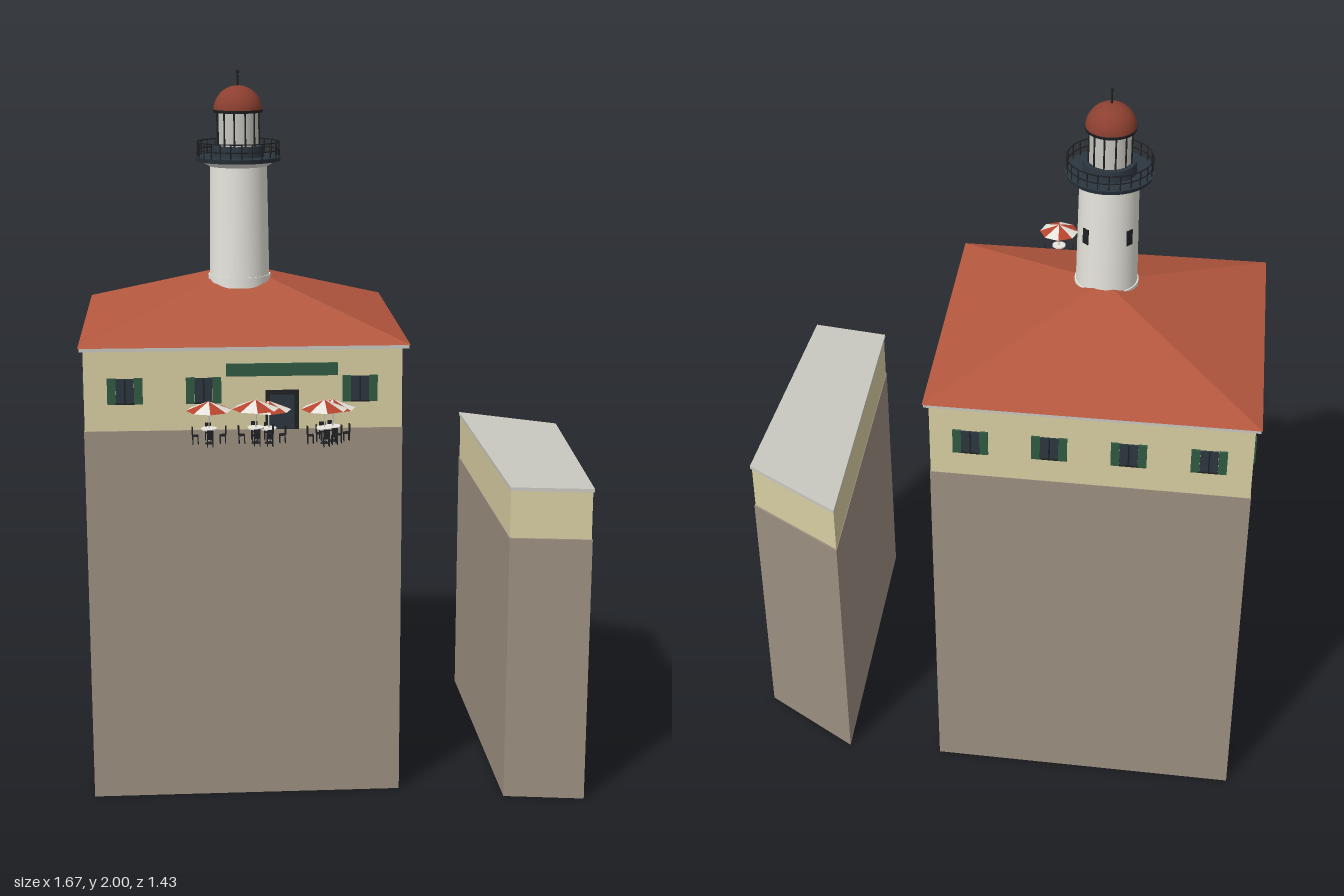
import * as THREE from 'three';

const mat = (name, color, side = THREE.FrontSide) => {
  const m = new THREE.MeshStandardMaterial({ color, side });
  m.name = name;
  return m;
};

export function createModel() {
  const root = new THREE.Group();
  root.name = 'lighthouseStation';

  const stone = mat('stoneBrown', 0x9c8f80);
  const cream = mat('creamWall', 0xd8cea2);
  const tile = mat('roofTile', 0xb4573e);
  const domeRed = mat('domeRed', 0x8c4030);
  const white = mat('towerWhite', 0xeeece4, THREE.DoubleSide);
  const grey = mat('paleGrey', 0xc9c7c0);
  const green = mat('shutterGreen', 0x2f5a42);
  const black = mat('ironBlack', 0x1f2124);
  const slate = mat('slateBlue', 0x2c363f);
  const canopyRed = mat('canopyRed', 0xb8452f, THREE.DoubleSide);

  const add = (parent, name, geo, material, x = 0, y = 0, z = 0) => {
    const m = new THREE.Mesh(geo, material);
    m.name = name;
    m.position.set(x, y, z);
    parent.add(m);
    return m;
  };
  const group = (name, x = 0, y = 0, z = 0, parent = root) => {
    const g = new THREE.Group();
    g.name = name;
    g.position.set(x, y, z);
    parent.add(g);
    return g;
  };
  const box = (w, h, d) => new THREE.BoxGeometry(w, h, d);
  const cyl = (rt, rb, h, n = 32) => new THREE.CylinderGeometry(rt, rb, h, n);

  // Upright prism over a plan outline of [x, z] points
  const prism = (outline, y0, y1) => {
    const shape = new THREE.Shape(outline.map(([x, z]) => new THREE.Vector2(x, -z)));
    const g = new THREE.ExtrudeGeometry(shape, { depth: y1 - y0, bevelEnabled: false });
    return g.rotateX(-Math.PI / 2).translate(0, y0, 0);
  };
  // Scale an outline about its middle
  const grow = (outline, s) => {
    const n = outline.length;
    const cx = outline.reduce((a, p) => a + p[0], 0) / n;
    const cz = outline.reduce((a, p) => a + p[1], 0) / n;
    return outline.map(([x, z]) => [cx + (x - cx) * s, cz + (z - cz) * s]);
  };

  // Main house: left, front, right, back corners
  const house = [[-0.815, 0.08], [-0.27, 0.695], [0.375, 0.125], [-0.16, -0.478]];
  const eaves = [[-0.835, 0.08], [-0.27, 0.712], [0.4, 0.125], [-0.162, -0.5]];
  add(root, 'houseBase', prism(house, 0, 1.06), stone);
  add(root, 'houseWalls', prism(grow(house, 0.996), 1.06, 1.282), cream);
  add(root, 'eavesTrim', prism(grow(eaves, 0.992), 1.28, 1.29), grey);

  // Hipped roof
  const apex = [-0.215, 1.45, 0.103];
  const roofPoints = [];
  eaves.forEach(([x, z], i) => {
    const [x2, z2] = eaves[(i + 1) % 4];
    roofPoints.push(x, 1.29, z, x2, 1.29, z2, ...apex);
  });
  for (const i of [0, 2, 1, 0, 3, 2]) roofPoints.push(eaves[i][0], 1.29, eaves[i][1]);
  const roof = new THREE.BufferGeometry();
  roof.setAttribute('position', new THREE.Float32BufferAttribute(roofPoints, 3));
  roof.computeVertexNormals();
  add(root, 'houseRoof', roof, tile);

  // Windows, door and sign along each wall
  const makeWindow = (g) => {
    add(g, 'windowPane', box(0.048, 0.068, 0.006), slate);
    add(g, 'windowBar', box(0.004, 0.068, 0.008), black);
    add(g, 'windowSill', box(0.05, 0.004, 0.009), black, 0, -0.034, 0);
    for (const s of [-1, 1]) add(g, 'shutter', box(0.023, 0.072, 0.009), green, s * 0.036, 0, 0);
  };
  house.forEach(([x, z], i) => {
    const [x2, z2] = house[(i + 1) % 4];
    const dx = x2 - x, dz = z2 - z;
    [0.13, 0.375, 0.62, 0.865].forEach((t, k) => {
      const g = group('wallOpening', x + dx * t, 1.17, z + dz * t);
      g.rotation.y = Math.atan2(-dz, dx);
      if (i === 1 && k === 2) {
        g.name = 'entrance';
        add(g, 'doorFrame', box(0.09, 0.108, 0.006), black, 0, -0.056, 0);
        add(g, 'door', box(0.066, 0.094, 0.009), slate, 0, -0.061, 0);
        add(g, 'signBoard', box(0.3, 0.034, 0.009), green, 0, 0.055, 0.002);
      } else makeWindow(g);
    });
  });

  // Annex
  const annex = [[0.04, -0.663], [0.64, -0.012], [0.828, -0.136], [0.36, -0.717]];
  add(root, 'annexBase', prism(annex, 0, 0.76), stone);
  add(root, 'annexWalls', prism(grow(annex, 0.985), 0.76, 0.895), cream);
  add(root, 'annexRoof', prism(grow(annex, 1.006), 0.895, 0.905), grey);

  // Lighthouse tower
  const tower = group('tower', -0.182, 0, 0.145);
  add(tower, 'towerShaft', cyl(0.08, 0.085, 0.35, 40), white, 0, 1.575, 0);
  add(tower, 'towerFoot', cyl(0.088, 0.088, 0.02, 40), white, 0, 1.42, 0);
  add(tower, 'towerCornice', cyl(0.106, 0.082, 0.014, 40), white, 0, 1.742, 0);
  add(tower, 'galleryDeck', cyl(0.12, 0.116, 0.012, 40), slate, 0, 1.755, 0);
  add(tower, 'towerSlit', box(0.007, 0.045, 0.02), black, -0.081, 1.59, 0);
  add(tower, 'towerSlit', box(0.02, 0.045, 0.007), black, 0, 1.59, -0.081);

  // Gallery railing
  for (const y of [1.78, 1.802]) {
    add(tower, 'rail', new THREE.TorusGeometry(0.115, 0.0018, 6, 40).rotateX(Math.PI / 2), black, 0, y, 0);
  }
  for (let i = 0; i < 24; i++) {
    const a = (i / 24) * Math.PI * 2;
    add(tower, 'railPost', cyl(0.0018, 0.0018, 0.045, 6), black, 0.115 * Math.cos(a), 1.781, 0.115 * Math.sin(a));
  }

  // Lantern room, dome and finial
  add(tower, 'lanternBase', cyl(0.07, 0.073, 0.03), slate, 0, 1.776, 0);
  add(tower, 'lanternGlass', cyl(0.058, 0.058, 0.1, 12), grey, 0, 1.837, 0);
  for (let i = 0; i < 12; i++) {
    const a = (i / 12) * Math.PI * 2;
    add(tower, 'mullion', cyl(0.0025, 0.0025, 0.1, 6), black, 0.059 * Math.sin(a), 1.837, 0.059 * Math.cos(a));
  }
  add(tower, 'domeRim', cyl(0.07, 0.068, 0.008), black, 0, 1.887, 0);
  const dome = new THREE.SphereGeometry(0.068, 32, 12, 0, Math.PI * 2, 0, Math.PI / 2);
  add(tower, 'dome', dome, domeRed, 0, 1.889, 0);
  add(tower, 'finialRod', cyl(0.002, 0.003, 0.045, 8), black, 0, 1.973, 0);
  add(tower, 'finialBall', new THREE.SphereGeometry(0.005, 10, 8), black, 0, 1.995, 0);

  // Parasol tables with chairs
  const parasolSet = (x, y, z) => {
    const g = group('parasolTable', x, y, z);
    add(g, 'pole', cyl(0.0018, 0.0018, 0.11, 6), grey, 0, 0.055, 0);
    add(g, 'tableTop', cyl(0.021, 0.021, 0.004, 16), white, 0, 0.04, 0);
    add(g, 'tableFoot', cyl(0.004, 0.012, 0.006, 12), black, 0, 0.003, 0);
    for (let i = 0; i < 8; i++) {
      const wedge = new THREE.ConeGeometry(0.06, 0.024, 1, 1, true, (i * Math.PI) / 4, Math.PI / 4);
      add(g, 'canopyPanel', wedge, i % 2 ? canopyRed : white, 0, 0.102, 0);
    }
    for (let i = 0; i < 4; i++) {
      const arm = group('chair', 0, 0, 0, g);
      arm.rotation.y = Math.PI / 4 + (i * Math.PI) / 2;
      add(arm, 'chairSeat', box(0.016, 0.003, 0.016), black, 0, 0.022, 0.036);
      add(arm, 'chairBack', box(0.016, 0.022, 0.003), black, 0, 0.035, 0.044);
      for (const sx of [-1, 1]) for (const sz of [-1, 1]) {
        add(arm, 'chairLeg', box(0.002, 0.022, 0.002), black, sx * 0.007, 0.011, 0.036 + sz * 0.007);
      }
    }
  };
  for (const [x, z] of [[0.08, 0.585], [0.2, 0.485], [0.32, 0.365]]) parasolSet(x, 1.06, z);
  for (const [x, z] of [[0.26, 0.61], [0.4, 0.505]]) parasolSet(x, 1.095, z);

  return root;
}
